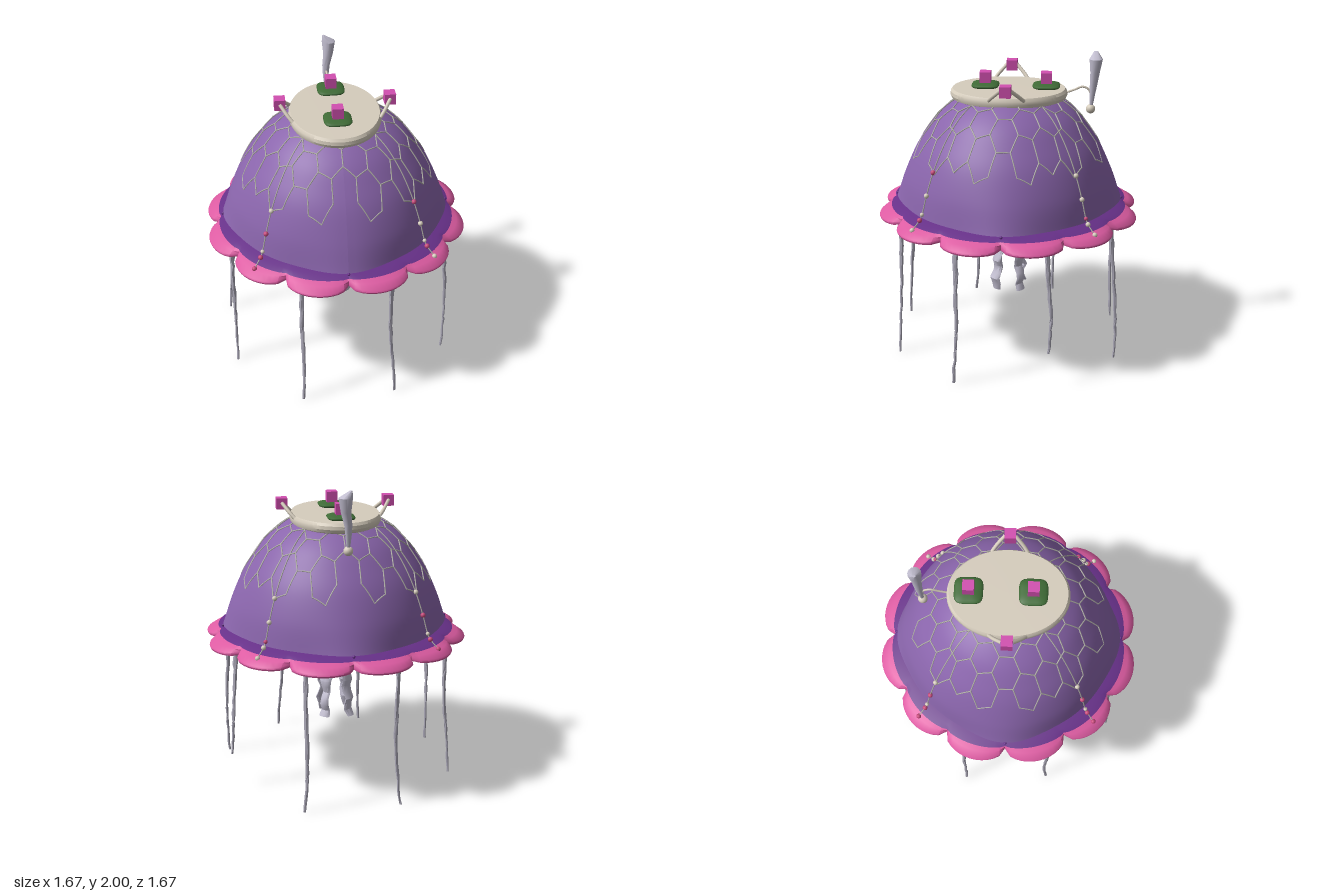
import * as THREE from 'three';
import { toCreasedNormals, mergeGeometries } from 'three/addons/utils/BufferGeometryUtils.js';

const mat = (name, color, side = THREE.FrontSide) => {
  const m = new THREE.MeshStandardMaterial({ color, side });
  m.name = name;
  return m;
};
const V = (x, y, z) => new THREE.Vector3(x, y, z);

// Small seeded generator for the crumpled parts
let seed = 7;
const rand = () => {
  seed = (seed * 16807) % 2147483647;
  return seed / 2147483647 - 0.5;
};

// Dome profile: radius to height
const domeCurve = new THREE.SplineCurve([[0, 1.75], [0.15, 1.74], [0.28, 1.71], [0.42, 1.615], [0.52, 1.495],
  [0.6, 1.365], [0.665, 1.19], [0.695, 1.03]].map(p => new THREE.Vector2(...p)));
const domePts = domeCurve.getPoints(42);
const domeY = r => {
  for (let i = 1; i < domePts.length; i++) {
    const a = domePts[i - 1], b = domePts[i];
    if (r <= b.x) return a.y + (b.y - a.y) * (r - a.x) / (b.x - a.x);
  }
  return 1.03;
};

// Revolved surface whose profile changes with the angle: fn(i, angle) -> [radius, y]
function ringSurface(count, segments, fn) {
  const pts = Array.from({ length: count }, (_, i) => new THREE.Vector2(1, i));
  const g = new THREE.LatheGeometry(pts, segments), p = g.attributes.position;
  for (let k = 0; k < p.count; k++) {
    const i = k % count, a = Math.floor(k / count) / segments * Math.PI * 2;
    const [r, y] = fn(i, a);
    p.setXYZ(k, r * Math.sin(a), y, r * Math.cos(a));
  }
  g.computeVertexNormals();
  return g;
}

// Crumpled loft; sections rise or fall as [x, y, z, halfWidth, halfDepth, turn]
function loft(sections, sides) {
  const s = sections[0][1] > sections[1][1] ? [...sections].reverse() : sections;
  const pos = [], idx = [];
  for (const [x, y, z, w, d, turn = 0] of s)
    for (let j = 0; j < sides; j++) {
      const a = j / sides * Math.PI * 2, u = w * Math.sin(a), v = d * Math.cos(a);
      pos.push(x + u * Math.cos(turn) + v * Math.sin(turn), y, z - u * Math.sin(turn) + v * Math.cos(turn));
    }
  for (let i = 0; i < s.length - 1; i++)
    for (let j = 0; j < sides; j++) {
      const a = i * sides + j, b = i * sides + (j + 1) % sides;
      idx.push(a, b, b + sides, a, b + sides, a + sides);
    }
  const end = (s.length - 1) * sides;
  for (let j = 1; j < sides - 1; j++) idx.push(0, j + 1, j, end, end + j, end + j + 1);
  const g = new THREE.BufferGeometry();
  g.setAttribute('position', new THREE.Float32BufferAttribute(pos, 3));
  g.setIndex(idx);
  return toCreasedNormals(g, 0.7);
}

const tube = (pts, r, seg = 8, sides = 6) =>
  new THREE.TubeGeometry(new THREE.CatmullRomCurve3(pts), seg, r, sides);

export function createModel() {
  seed = 7;
  const model = new THREE.Group();
  const purple = mat('purple', 0x8a65ac, THREE.DoubleSide);
  const darkPurple = mat('dark purple', 0x68318a, THREE.DoubleSide);
  const pink = mat('petal pink', 0xde5ca3, THREE.DoubleSide);
  const magenta = mat('magenta', 0xd24fb0);
  const cream = mat('cream', 0xd6cdbd);
  const green = mat('green', 0x3f6b36);
  const lavender = mat('pale lavender', 0xc2bed0);
  const tentacleGrey = mat('tentacle grey', 0xaeabba);
  const grey = mat('net grey', 0xb4b2ac);
  const rose = mat('rose', 0xc84a7c);
  const add = (name, geometry, material, x = 0, y = 0, z = 0) => {
    const m = new THREE.Mesh(geometry, material);
    m.name = name;
    m.position.set(x, y, z);
    model.add(m);
  };

  // Bell: flares to four points at the rim
  add('dome', ringSurface(domePts.length, 96, (i, a) => {
    const p = domePts[domePts.length - 1 - i];
    const low = Math.pow((1.75 - p.y) / 0.72, 3.5);
    return [p.x * (1 + 0.062 * low * Math.pow((1 + Math.cos(4 * a)) / 2, 2.5)), p.y];
  }), purple);

  // Rim flange and twelve scalloped petals
  const scallop = a => Math.sqrt(Math.abs(Math.sin(6 * a)));
  add('rimFlange', ringSurface(3, 144, (i, a) =>
    [[0.753 + 0.022 * scallop(a), 1.002], [0.73, 1.018], [0.67, 1.03]][i]), darkPurple);
  const petals = ringSurface(7, 144, (i, a) => {
    const s = scallop(a), R = 0.757 + 0.1 * s;
    const mid = 0.745 + (R - 0.745) * 0.55;
    return [[0.735, 0.98], [mid, 0.953], [R - 0.004, 0.948 - 0.015 * s], [R, 0.956 - 0.012 * s],
      [R - 0.004, 0.966 - 0.012 * s], [mid, 0.982], [0.735, 1.003]][i];
  });
  add('petalRing', toCreasedNormals(petals, 0.7), pink);

  // Cross wires at the rim, with a small knob at each end
  for (let k = 0; k < 4; k++) {
    const a = k * Math.PI / 2, x = Math.sin(a), z = Math.cos(a);
    add('rimWire', tube([V(0, 1.03, 0), V(x * 0.37, 1.03, z * 0.37), V(x * 0.74, 1.03, z * 0.74)], 0.003, 4, 5), darkPurple);
    add('rimKnob', new THREE.SphereGeometry(0.01, 10, 8), darkPurple, x * 0.74, 1.026, z * 0.74);
  }

  // Hexagonal net draped on the dome
  const R = 0.0866, pitch = 0.15, edges = new Map();
  for (let row = -4; row <= 4; row++)
    for (let col = -5; col <= 5; col++) {
      const cx = (col + (row % 2 ? 0.5 : 0)) * pitch, cz = row * 0.13, d = Math.hypot(cx, cz);
      if (d > 0.56 || d < 0.2 || (Math.abs(row) === 4 && col === 0)) continue;
      for (let k = 0; k < 6; k++) {
        const [p, q] = [k, k + 1].map(j => [cx + R * Math.sin(j * Math.PI / 3), cz + R * Math.cos(j * Math.PI / 3)]);
        edges.set(`${Math.round((p[0] + q[0]) * 100)},${Math.round((p[1] + q[1]) * 100)}`, [p, q]);
      }
    }
  const strands = [...edges.values()].map(([p, q]) => tube([0, 0.33, 0.67, 1].map(t => {
    const x = p[0] + (q[0] - p[0]) * t, z = p[1] + (q[1] - p[1]) * t;
    return V(x, domeY(Math.hypot(x, z)) + 0.006, z);
  }), 0.0042, 4, 5));
  add('hexNet', mergeGeometries(strands), grey);

  // Beaded strings down the four diagonals; r marks a rose bead, c a cream one
  const beads = [[0.625, 1.325, 0.016], [0.682, 1.185, 0.016], [0.72, 1.07, 0.013], [0.74, 1.037, 0.016], [0.8, 0.985, 0.016]];
  for (const [sx, sz, order] of [[1, 1, 'rccrc'], [-1, 1, 'crcrr'], [-1, -1, 'crcrr'], [1, -1, 'ccrcc']]) {
    const at = (r, y) => V(sx * r * Math.SQRT1_2, y, sz * r * Math.SQRT1_2);
    const path = [0.3, 0.4, 0.48, 0.55].map(r => at(r + 0.003, domeY(r) + 0.005));
    add('beadString', tube([...path, ...beads.map(b => at(b[0], b[1]))], 0.004, 28, 5), grey);
    beads.forEach(([r, y, size], i) => {
      const p = at(r, y);
      add('bead', new THREE.SphereGeometry(size, 12, 8), order[i] === 'r' ? rose : cream, p.x, p.y, p.z);
    });
  }

  // Oval crown plate with a flat top
  const plate = new THREE.LatheGeometry([[0, 1.69], [0.265, 1.69], [0.285, 1.7], [0.292, 1.72], [0.29, 1.742],
    [0.28, 1.759], [0, 1.762]].map(p => new THREE.Vector2(...p)), 64);
  plate.scale(1, 1, 1.285);
  add('crownPlate', toCreasedNormals(plate, 0.5), cream);

  // Green pads with cubes, rounded-square in plan
  for (const z of [0.15, -0.24]) {
    const pad = ringSurface(11, 40, (i, a) => {
      const lift = (i / 10 - 0.5) * Math.PI;
      const reach = 0.088 / Math.pow(Math.sin(a) ** 4 + Math.cos(a) ** 4, 0.25);
      return [reach * Math.cos(lift), 0.02 * Math.sin(lift)];
    });
    add('greenPad', pad, green, 0, 1.776, z);
    add('padCube', new THREE.BoxGeometry(0.07, 0.07, 0.07), magenta, 0, 1.828, z);
  }

  // Side cubes on pairs of arms
  for (const s of [-1, 1]) {
    add('sideCube', new THREE.BoxGeometry(0.07, 0.07, 0.07), magenta, s * 0.345, 1.825, 0);
    for (const t of [-1, 1])
      add('cubeArm', tube([V(s * 0.272, 1.745, t * 0.11), V(s * 0.3, 1.775, t * 0.085), V(s * 0.345, 1.83, t * 0.03)], 0.012, 6, 8), cream);
  }

  // Rear hook with hanging knob and horn
  add('rearHook', tube([V(0, 1.73, -0.36), V(0, 1.752, -0.42), V(0, 1.772, -0.47), V(0, 1.755, -0.51), V(0, 1.7, -0.525), V(0, 1.63, -0.525)], 0.007, 20), cream);
  add('rearKnob', new THREE.SphereGeometry(0.03, 18, 12), cream, 0, 1.627, -0.525);
  add('rearHorn', loft([[0, 1.64, -0.527, 0.01, 0.01], [0, 1.72, -0.533, 0.019, 0.018], [0.003, 1.79, -0.54, 0.025, 0.024],
    [0.018, 1.87, -0.547, 0.032, 0.03], [0.021, 1.958, -0.552, 0.044, 0.042], [-0.012, 2, -0.55, 0.008, 0.012]], 12), lavender);

  // Eight trailing tentacles around the rim
  for (let k = 0; k < 8; k++) {
    const a = (k + 0.5) * Math.PI / 4, bottom = k === 2 ? 0.24 : 0;
    const phase = rand() * 6, sections = [];
    for (let i = 0; i <= 18; i++) {
      const t = i / 18, y = 0.975 + (bottom - 0.975) * t;
      const r = 0.745 + 0.025 * t + 0.012 * Math.sin(t * 4 + phase) + 0.006 * rand();
      const b = a + 0.025 * t * Math.sin(t * 5 + phase) + 0.008 * rand();
      const w = (0.018 - 0.009 * t) * (1 + 0.35 * rand());
      sections.push([r * Math.sin(b), y, r * Math.cos(b), w, w * 0.8, a + rand()]);
    }
    add('tentacle', loft(sections, 6), tentacleGrey);
  }

  // Central stem and four crumpled ribbon arms
  add('centralStem', new THREE.CylinderGeometry(0.048, 0.048, 0.74, 20), lavender, 0, 1.35, 0);
  for (let k = 0; k < 4; k++) {
    const a = (k + 0.5) * Math.PI / 2, sections = [];
    for (let i = 0; i <= 16; i++) {
      const t = i / 16;
      const r = 0.035 + 0.085 * Math.pow(t, 0.7) + 0.014 * Math.sin(i * 1.9 + k) * (0.4 + t * 0.6);
      const w = 0.047 - 0.01 * t + 0.014 * rand();
      sections.push([r * Math.sin(a), 1.04 - 0.665 * t, r * Math.cos(a), w, 0.016 + 0.006 * rand(), a + 0.3 * rand()]);
    }
    add('oralArm', loft(sections, 8), lavender);
  }
  return model;
}
